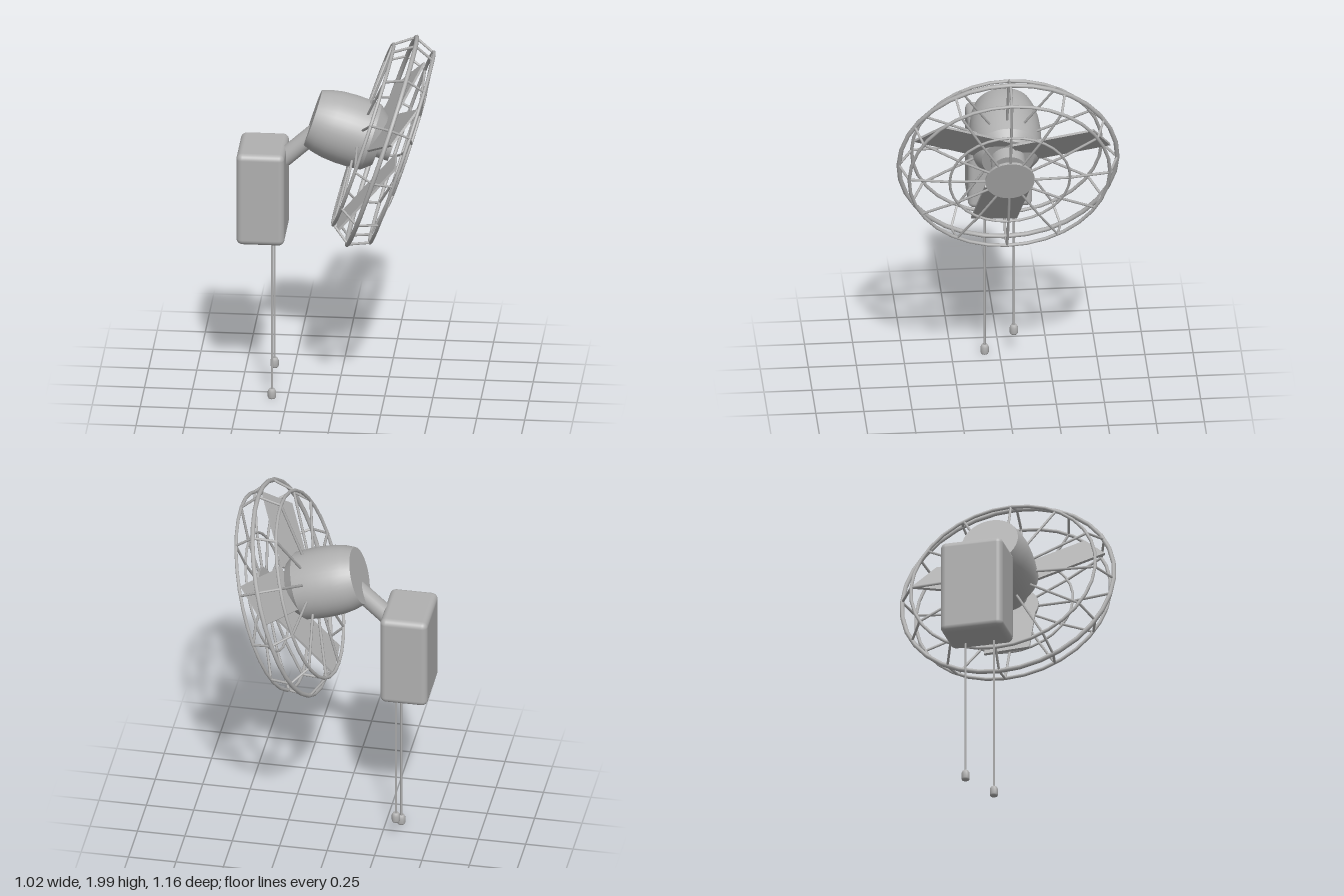
import * as THREE from 'three';
import { RoundedBoxGeometry } from 'three/addons/geometries/RoundedBoxGeometry.js';

const V = (x, y, z) => new THREE.Vector3(x, y, z);
const rad = THREE.MathUtils.degToRad;

export function createModel() {
  const model = new THREE.Group();
  model.name = 'wallFan';
  const grey = new THREE.MeshStandardMaterial({ color: 0xb0b0b0 });
  grey.name = 'grey';

  const add = (parent, name, geometry) => {
    const mesh = new THREE.Mesh(geometry, grey);
    mesh.name = name;
    parent.add(mesh);
    return mesh;
  };
  // Straight round bar between two points
  const rod = (parent, name, a, b, r, sides = 8) => {
    const dir = b.clone().sub(a);
    const mesh = add(parent, name, new THREE.CylinderGeometry(r, r, dir.length(), sides));
    mesh.position.copy(a).add(b).multiplyScalar(0.5);
    mesh.quaternion.setFromUnitVectors(V(0, 1, 0), dir.normalize());
    return mesh;
  };

  // Wall box and arm
  add(model, 'wallBox', new RoundedBoxGeometry(0.25, 0.51, 0.334, 4, 0.032)).position.set(-0.385, 1.145, 0);
  rod(model, 'arm', V(-0.275, 1.325, 0), V(-0.09, 1.495, 0), 0.048, 24);

  // Pull cords with small knobs
  for (const [z, bottom] of [[0.077, 0], [-0.075, 0.11]]) {
    rod(model, 'pullCord', V(-0.33, bottom + 0.04, z), V(-0.33, 0.92, z), 0.006);
    const profile = [[0, 0], [0.018, 0], [0.022, 0.008], [0.022, 0.038], [0.015, 0.052], [0, 0.052]];
    const knob = add(model, 'cordKnob', new THREE.LatheGeometry(profile.map(p => new THREE.Vector2(...p)), 12));
    knob.position.set(-0.33, bottom, z);
  }

  // Fan head: local +x is the spin axis, tilted down
  const head = new THREE.Group();
  head.name = 'fanHead';
  head.position.set(0.235, 1.44, 0);
  head.rotation.z = rad(-18);
  model.add(head);

  // Barrel-shaped motor housing, with separate caps to keep edges crisp
  const lathe = (name, pts) => {
    const mesh = add(head, name, new THREE.LatheGeometry(pts.map(([s, r]) => new THREE.Vector2(r, s)), 40));
    mesh.rotation.z = -Math.PI / 2;
  };
  lathe('motorBack', [[-0.378, 0], [-0.378, 0.15]]);
  lathe('motorBody', [[-0.378, 0.15], [-0.33, 0.168], [-0.27, 0.18], [-0.2, 0.185], [-0.13, 0.184], [-0.06, 0.178]]);
  lathe('motorShoulder', [[-0.06, 0.178], [-0.01, 0.135]]);
  lathe('motorFront', [[-0.01, 0.135], [-0.01, 0]]);
  rod(head, 'hub', V(-0.03, 0, 0), V(0.06, 0, 0), 0.09, 32);

  // Three flat blades, each leaning forward about its own centre
  for (const deg of [66, 186, 306]) {
    const a = rad(deg);
    const holder = new THREE.Group();
    holder.name = 'bladeHolder';
    holder.position.set(0.015, 0.295 * Math.cos(a), -0.295 * Math.sin(a));
    holder.rotation.z = rad(-23);
    head.add(holder);
    add(holder, 'blade', new THREE.BoxGeometry(0.012, 0.46, 0.24)).rotation.x = -a;
  }

  // Guard rings: position on axis, radius, wire thickness
  for (const [s, r, t] of [[-0.102, 0.494, 0.009], [0, 0.568, 0.012], [0.109, 0.522, 0.009], [0.135, 0.313, 0.007]]) {
    const ring = add(head, 'guardRing', new THREE.TorusGeometry(r, t, 8, 32));
    ring.rotation.y = Math.PI / 2;
    ring.position.x = s;
  }
  rod(head, 'guardCap', V(0.132, 0, 0), V(0.147, 0, 0), 0.128, 32);

  // Guard wires from motor, round the rim, to the front cap
  const wire = [[-0.12, 0.17], [-0.102, 0.494], [0, 0.568], [0.109, 0.522], [0.135, 0.313], [0.14, 0.12]];
  for (let i = 0; i < 12; i++) {
    const a = i * Math.PI / 6;
    const pts = wire.map(([s, r]) => V(s, r * Math.cos(a), r * Math.sin(a)));
    for (let j = 1; j < pts.length; j++) rod(head, 'guardWire', pts[j - 1], pts[j], 0.007, 6);
  }
  return model;
}
